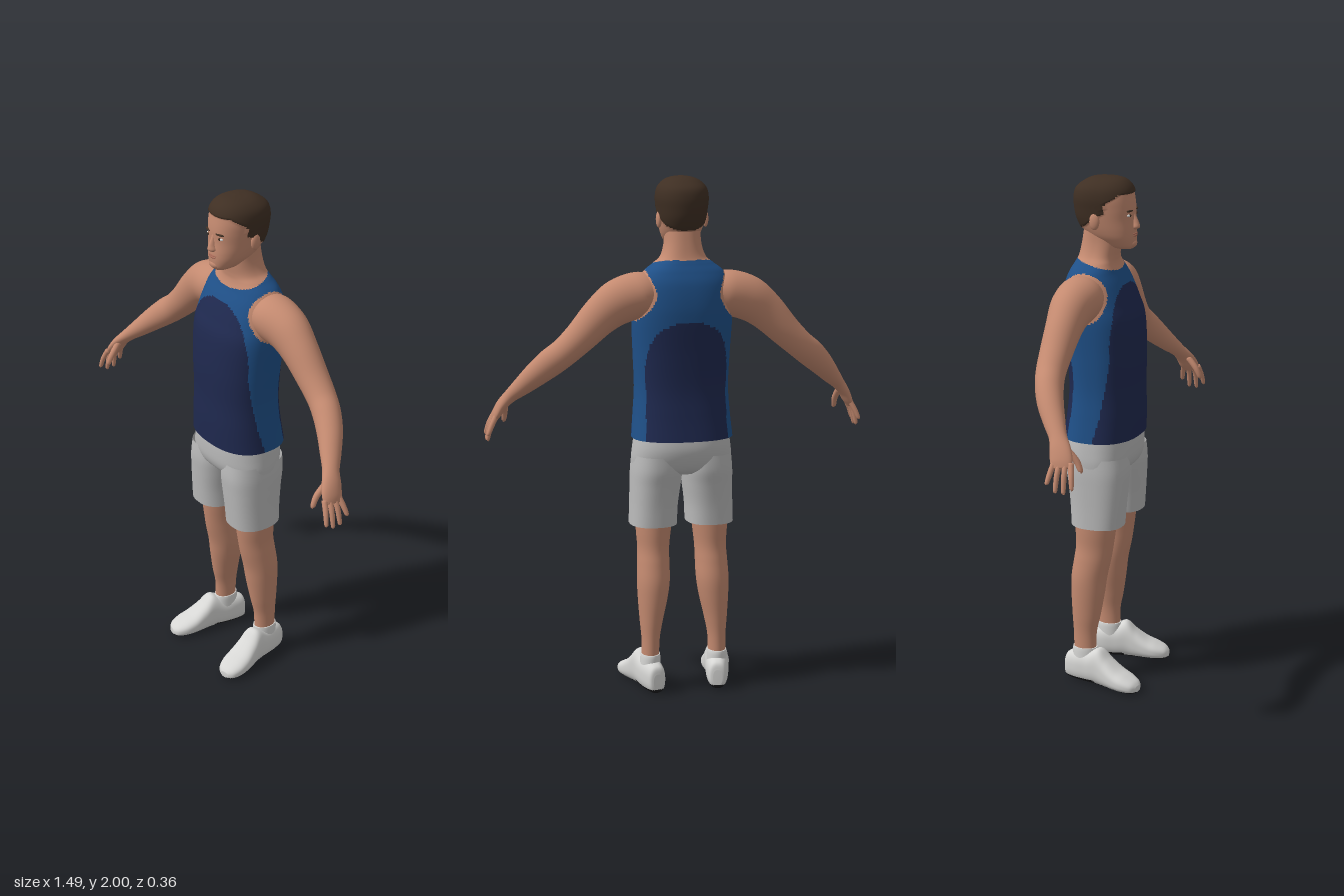
import * as THREE from 'three';

const paint = (name, color, side = THREE.FrontSide) => {
  const m = new THREE.MeshStandardMaterial({ color, side });
  m.name = name;
  return m;
};

// Smooth interpolation through a list of equal-length number rows
function sample(rows, t) {
  const i = Math.min(Math.floor(t), rows.length - 2), f = t - i;
  const at = k => rows[Math.max(0, Math.min(rows.length - 1, k))];
  const [a, b, c, d] = [at(i - 1), at(i), at(i + 1), at(i + 2)];
  return b.map((p, k) => {
    const m0 = (c[k] - a[k]) / 2, m1 = (d[k] - p) / 2, e = c[k] - p;
    return p + f * (m0 + f * (3 * e - 2 * m0 - m1 + f * (m0 + m1 - 2 * e)));
  });
}

// Upright ring: row = [y, centreX, halfWidth, frontZ, backZ]
const upright = ([y, cx, rx, zf, zb], S, C) =>
  new THREE.Vector3(cx + rx * S, y, (zf + zb) / 2 + (zf - zb) / 2 * C);

// Limb ring across its direction: row = [x, y, z, thickness, breadth]
function limb([x, y, z, rv, ru], S, C, dir) {
  const u = new THREE.Vector3(0, 0, 1).addScaledVector(dir, -dir.z).normalize();
  const v = new THREE.Vector3().crossVectors(dir, u);
  return new THREE.Vector3(x, y, z).addScaledVector(v, rv * S).addScaledVector(u, ru * C);
}

// Skin a row of rings; pick(point, angle) chooses the material slot of each face
function loft(rows, { ring = upright, steps = 6, segs = 32, n = 2, cap = true, pick = () => 0, shape } = {}) {
  const pos = [], slots = [[], [], []], count = (rows.length - 1) * steps;
  const bend = v => Math.sign(v) * Math.abs(v) ** (2 / n);
  const pts = [];
  for (let i = 0; i <= count; i++) {
    const t = i / steps, row = sample(rows, t);
    const p = sample(rows, Math.max(0, t - 0.1)), q = sample(rows, Math.min(rows.length - 1, t + 0.1));
    const dir = new THREE.Vector3(q[0] - p[0], q[1] - p[1], q[2] - p[2]).normalize();
    for (let j = 0; j < segs; j++) {
      const a = j / segs * Math.PI * 2;
      const v = ring(row, bend(Math.sin(a)), bend(Math.cos(a)), dir);
      if (shape) shape(v);
      pts.push(v);
    }
  }
  for (let i = 0; i < count; i++) for (let j = 0; j < segs; j++) {
    const k = (j + 1) % segs, a = i * segs + j, b = i * segs + k, c = b + segs, d = a + segs;
    const mid = pts[a].clone().add(pts[c]).multiplyScalar(0.5);
    slots[pick(mid, (j + 0.5) / segs * Math.PI * 2)].push(a, b, c, a, c, d);
  }
  if (cap) for (const base of [0, count * segs]) {
    const mid = new THREE.Vector3();
    for (let j = 0; j < segs; j++) mid.addScaledVector(pts[base + j], 1 / segs);
    const m = pts.push(mid) - 1, slot = slots[pick(mid, 0)];
    for (let j = 0; j < segs; j++) {
      const a = base + j, b = base + (j + 1) % segs;
      slot.push(m, ...(base ? [a, b] : [b, a]));
    }
  }
  pts.forEach(p => pos.push(p.x, p.y, p.z));
  const g = new THREE.BufferGeometry();
  g.setAttribute('position', new THREE.Float32BufferAttribute(pos, 3));
  g.setIndex(slots.flat());
  let start = 0;
  slots.forEach((s, i) => { if (s.length) g.addGroup(start, s.length, i); start += s.length; });
  g.computeVertexNormals();
  return g;
}

function mirrored(geo) {
  const g = geo.clone().scale(-1, 1, 1), ix = g.index.array;
  for (let i = 0; i < ix.length; i += 3) [ix[i], ix[i + 1]] = [ix[i + 1], ix[i]];
  g.computeVertexNormals();
  return g;
}

export function createModel() {
  const model = new THREE.Group();
  const skin = paint('skin', 0xc48a70), hair = paint('hair', 0x3f2f23), lip = paint('lips', 0xa86a58);
  const navy = paint('navy cloth', 0x1f294f, THREE.DoubleSide), blue = paint('blue cloth', 0x1f5088, THREE.DoubleSide);
  const cloth = paint('shorts cloth', 0xbababa, THREE.DoubleSide);
  const white = paint('shoe white', 0xd6d6d4), black = paint('sole black', 0x1a1a1c);

  const add = (name, geo, mat) => {
    const mesh = new THREE.Mesh(geo, mat);
    mesh.name = name;
    model.add(mesh);
  };
  const pair = (name, geo, mat) => {
    add('left' + name, geo, mat);
    add('right' + name, mirrored(geo), mat);
  };
  const ball = (x, y, z, sx, sy, sz) => new THREE.SphereGeometry(1, 20, 14).scale(sx, sy, sz).translate(x, y, z);

  // Torso, neck and sleeveless shirt, with neckline, armholes and arched panels
  const arch = (y, mid, top, low, wide) => y < mid
    ? THREE.MathUtils.mapLinear(y, 1, mid, low, wide)
    : wide * Math.sqrt(Math.max(0, 1 - ((y - mid) / (top - mid)) ** 2));
  const shirt = (p, a) => {
    const t = a > Math.PI ? 2 * Math.PI - a : a, ax = Math.abs(p.x);
    if (p.y > 1.656 - 0.26 * p.z + 0.08 * ax) return 0;
    if (ax > 0.1 && ((p.z + 0.055) / 0.093) ** 2 + ((p.y - 1.555) / 0.095) ** 2 < 1) return 0;
    if (t < arch(p.y, 1.33, 1.597, 1.5, 1.1)) return 2;
    return Math.PI - t < arch(p.y, 1.25, 1.46, 0.9, 1) ? 2 : 1;
  };
  add('torsoAndShirt', loft([
    [1.005, 0, 0.196, 0.12, -0.172], [1.1, 0, 0.187, 0.122, -0.158], [1.2, 0, 0.181, 0.12, -0.15],
    [1.33, 0, 0.186, 0.122, -0.157], [1.46, 0, 0.192, 0.113, -0.17], [1.53, 0, 0.187, 0.089, -0.172],
    [1.6, 0, 0.176, 0.059, -0.164], [1.645, 0, 0.152, 0.036, -0.148], [1.675, 0, 0.115, 0.026, -0.133],
    [1.7, 0, 0.086, 0.026, -0.122], [1.75, 0, 0.07, 0.032, -0.112], [1.83, 0, 0.065, 0.03, -0.1],
  ], { steps: 11, segs: 144, n: 2.4, cap: false, pick: shirt }), [skin, blue, navy]);

  // Head, with the hair raised slightly off the scalp
  const isHair = p => p.y > (p.z > 0 ? 1.9 + 0.04 * Math.min(1, p.z / 0.06) : Math.max(1.79, 1.87 + p.z * 0.65));
  add('headAndHair', loft([
    [1.73, 0, 0.03, 0.085, 0.02], [1.742, 0, 0.048, 0.094, -0.03], [1.77, 0, 0.068, 0.097, -0.08],
    [1.8, 0, 0.079, 0.096, -0.11], [1.84, 0, 0.087, 0.092, -0.13], [1.88, 0, 0.092, 0.092, -0.138],
    [1.92, 0, 0.095, 0.087, -0.14], [1.955, 0, 0.088, 0.079, -0.13], [1.98, 0, 0.068, 0.06, -0.1],
    [1.994, 0, 0.04, 0.033, -0.07], [2, 0, 0.005, -0.01, -0.03],
  ], {
    steps: 8, segs: 72, n: 2.2, pick: p => isHair(p) ? 1 : 0,
    shape: p => { if (isHair(p)) { p.x *= 1.05; p.z = p.z * 1.05 + 0.001; } },
  }), [skin, hair]);
  add('nose', loft([
    [1.803, 0, 0.012, 0.1, 0.07], [1.812, 0, 0.019, 0.112, 0.07], [1.83, 0, 0.013, 0.108, 0.07],
    [1.855, 0, 0.009, 0.097, 0.07], [1.872, 0, 0.012, 0.091, 0.07],
  ], { segs: 20 }), skin);
  add('upperLip', ball(0, 1.788, 0.092, 0.025, 0.004, 0.008), lip);
  add('lowerLip', ball(0, 1.78, 0.092, 0.021, 0.005, 0.008), lip);
  add('chin', ball(0, 1.75, 0.08, 0.028, 0.018, 0.02), skin);
  pair('Ear', ball(0.09, 1.838, -0.035, 0.011, 0.032, 0.02), skin);
  pair('Eye', ball(0.034, 1.859, 0.081, 0.014, 0.006, 0.007), white);
  pair('Iris', ball(0.034, 1.859, 0.085, 0.006, 0.006, 0.005), hair);
  pair('Brow', ball(0, 0, 0, 0.02, 0.004, 0.006).rotateY(0.25).translate(0.035, 1.876, 0.085), hair);

  // Arms tapering into the palms
  pair('Arm', loft([
    [0.12, 1.565, -0.06, 0.068, 0.078], [0.17, 1.56, -0.06, 0.086, 0.09], [0.25, 1.535, -0.065, 0.086, 0.08],
    [0.32, 1.485, -0.065, 0.074, 0.068], [0.4, 1.405, -0.065, 0.061, 0.06], [0.46, 1.35, -0.06, 0.055, 0.055],
    [0.51, 1.31, -0.045, 0.054, 0.052], [0.56, 1.265, -0.02, 0.047, 0.048], [0.61, 1.215, 0.015, 0.036, 0.04],
    [0.65, 1.175, 0.045, 0.026, 0.033], [0.68, 1.14, 0.065, 0.021, 0.039], [0.7, 1.105, 0.078, 0.018, 0.042],
    [0.712, 1.08, 0.083, 0.012, 0.036],
  ], { ring: limb, segs: 36 }), skin);

  // Fingers fan out along the palm edge; the thumb points forward
  const finger = (a, b, c, r) => loft([
    [...a, r, r], [...b, r * 0.95, r * 0.95], [...c, r * 0.75, r * 0.75],
    [c[0] + 0.002, c[1] - 0.006, c[2], r * 0.3, r * 0.3],
  ], { ring: limb, segs: 12, steps: 4 });
  for (let i = 0; i < 4; i++) {
    const z = 0.053 + i * 0.021, tip = [1.03, 1.005, 1.003, 1.02][i];
    pair('Finger' + (i + 1), finger([0.704, 1.1, z], [0.725, 1.06, z + (i - 1.5) * 0.006],
      [0.738, tip, z + (i - 1.5) * 0.01], 0.0105), skin);
  }
  pair('Thumb', finger([0.67, 1.14, 0.085], [0.665, 1.1, 0.12], [0.667, 1.065, 0.137], 0.0125), skin);

  // Shorts: hips and two open legs
  add('shortsHips', loft([
    [0.865, 0, 0.16, 0.06, -0.1], [0.885, 0, 0.19, 0.092, -0.128], [0.92, 0, 0.195, 0.108, -0.146],
    [0.97, 0, 0.19, 0.111, -0.155], [1.03, 0, 0.181, 0.108, -0.148],
  ], { segs: 64, n: 2.4 }), cloth);
  pair('ShortsLeg', loft([
    [0.662, 0.112, 0.092, 0.09, -0.115], [0.74, 0.109, 0.092, 0.096, -0.12], [0.82, 0.103, 0.096, 0.102, -0.13],
    [0.88, 0.099, 0.098, 0.105, -0.14], [0.94, 0.097, 0.094, 0.1, -0.14],
  ], { segs: 48, n: 2.4, cap: false }), cloth);

  // Legs
  pair('Leg', loft([
    [0.09, 0.135, 0.035, -0.015, -0.105], [0.2, 0.133, 0.035, -0.015, -0.108], [0.28, 0.129, 0.045, 0, -0.114],
    [0.37, 0.122, 0.058, 0.014, -0.12], [0.44, 0.118, 0.064, 0.023, -0.12], [0.51, 0.116, 0.063, 0.038, -0.11],
    [0.57, 0.114, 0.062, 0.048, -0.102], [0.65, 0.112, 0.069, 0.058, -0.105], [0.8, 0.105, 0.08, 0.07, -0.11],
  ], { segs: 40 }), skin);

  // Shoes: lofted heel to toe, laid flat and turned outwards, with a dark sole
  pair('Sock', loft([
    [0.08, 0.135, 0.04, -0.008, -0.11], [0.13, 0.134, 0.039, -0.01, -0.112], [0.147, 0.134, 0.037, -0.012, -0.11],
  ], {}), white);
  const shoe = loft([
    [-0.148, 0, 0.018, -0.02, -0.08], [-0.138, 0, 0.034, -0.004, -0.11], [-0.09, 0, 0.044, 0, -0.126],
    [-0.04, 0, 0.045, 0, -0.132], [0.005, 0, 0.046, 0, -0.15], [0.045, 0, 0.051, 0, -0.115],
    [0.09, 0, 0.056, 0, -0.082], [0.13, 0, 0.054, 0, -0.064], [0.165, 0, 0.04, -0.001, -0.047],
    [0.18, 0, 0.018, -0.008, -0.032],
  ], {
    segs: 64, n: 2.5,
    ring: ([t, cx, w, lo, hi], S, C) => new THREE.Vector3(cx + w * S, t, (lo + hi) / 2 + (lo - hi) / 2 * C),
    pick: p => -p.z < (p.y < 0 ? 0.02 : 0.011) ? 1 : 0,
  });
  shoe.rotateX(Math.PI / 2).rotateY(0.2).translate(0.149, 0, 0.003);
  pair('Shoe', shoe, [white, black]);

  return model;
}
